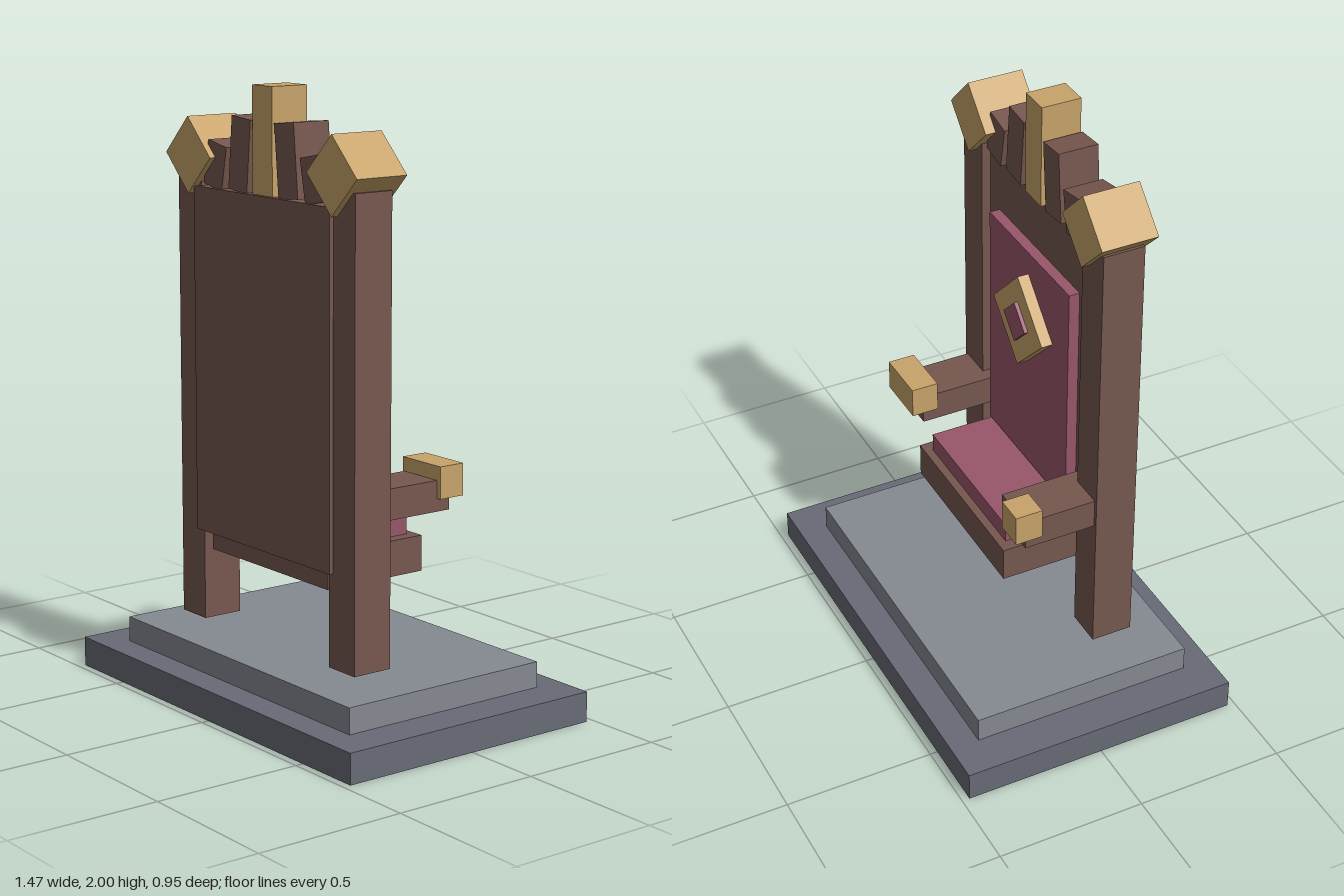
import * as THREE from 'three';

const material = (color) => new THREE.MeshStandardMaterial({ color });

export function createModel() {
  const throne = new THREE.Group();
  throne.name = 'throne';

  const wood = material(0x76574f);
  const gold = material(0xc8a36a);
  const velvet = material(0x98566a);
  const darkStone = material(0x686b76);
  const lightStone = material(0x858991);

  // Box given by its extents on each axis, with an optional roll about z
  function block(name, mat, [x0, x1], [y0, y1], [z0, z1], roll = 0) {
    const mesh = new THREE.Mesh(new THREE.BoxGeometry(x1 - x0, y1 - y0, z1 - z0), mat);
    mesh.position.set((x0 + x1) / 2, (y0 + y1) / 2, (z0 + z1) / 2);
    mesh.rotation.z = roll;
    mesh.name = name;
    throne.add(mesh);
    return mesh;
  }

  // Square block turned on its corner
  function diamond(name, mat, x, y, halfDiagonal, z) {
    const h = halfDiagonal / Math.SQRT2;
    return block(name, mat, [x - h, x + h], [y - h, y + h], z, Math.PI / 4);
  }

  // Stepped plinth
  block('lowerStep', darkStone, [-0.735, 0.735], [0, 0.1], [-0.475, 0.475]);
  block('upperStep', lightStone, [-0.605, 0.605], [0.1, 0.185], [-0.378, 0.378]);

  // Seat and backrest, facing -z
  block('seat', wood, [-0.312, 0.312], [0.46, 0.577], [-0.14, 0.235]);
  block('seatCushion', velvet, [-0.27, 0.27], [0.577, 0.642], [-0.112, 0.15]);
  block('backPanel', wood, [-0.358, 0.358], [0.525, 1.66], [0.14, 0.265]);
  block('backCushion', velvet, [-0.27, 0.27], [0.65, 1.46], [0.104, 0.15]);

  // Emblem on the backrest
  diamond('emblem', gold, 0, 1.215, 0.167, [0.066, 0.105]);
  diamond('emblemCentre', velvet, 0, 1.215, 0.073, [0.054, 0.075]);

  // Central crest slat
  block('centreSlat', gold, [-0.052, 0.052], [1.655, 2], [0.118, 0.252]);

  for (const [side, s] of [['left', 1], ['right', -1]]) {
    const span = (a, b) => (s > 0 ? [a, b] : [-b, -a]);
    block(side + 'Post', wood, span(0.337, 0.465), [0.22, 1.71], [0.11, 0.25]);
    diamond(side + 'Finial', gold, s * 0.378, 1.757, 0.124, [0.083, 0.273]);
    block(side + 'Armrest', wood, span(0.29, 0.452), [0.69, 0.79], [-0.135, 0.14]);

    // The right hand cap is narrower and sits outboard
    block(side + 'ArmrestCap', gold, s > 0 ? [0.283, 0.468] : [-0.47, -0.373],
      [0.732, 0.836], [-0.177, -0.085]);

    // Crest slats leaning inward
    block(side + 'InnerSlat', wood, span(0.073, 0.173), [1.66, 1.894], [0.118, 0.252], s * 0.09);
    block(side + 'OuterSlat', wood, span(0.206, 0.306), [1.66, 1.804], [0.118, 0.252], s * 0.19);
  }

  return throne;
}
